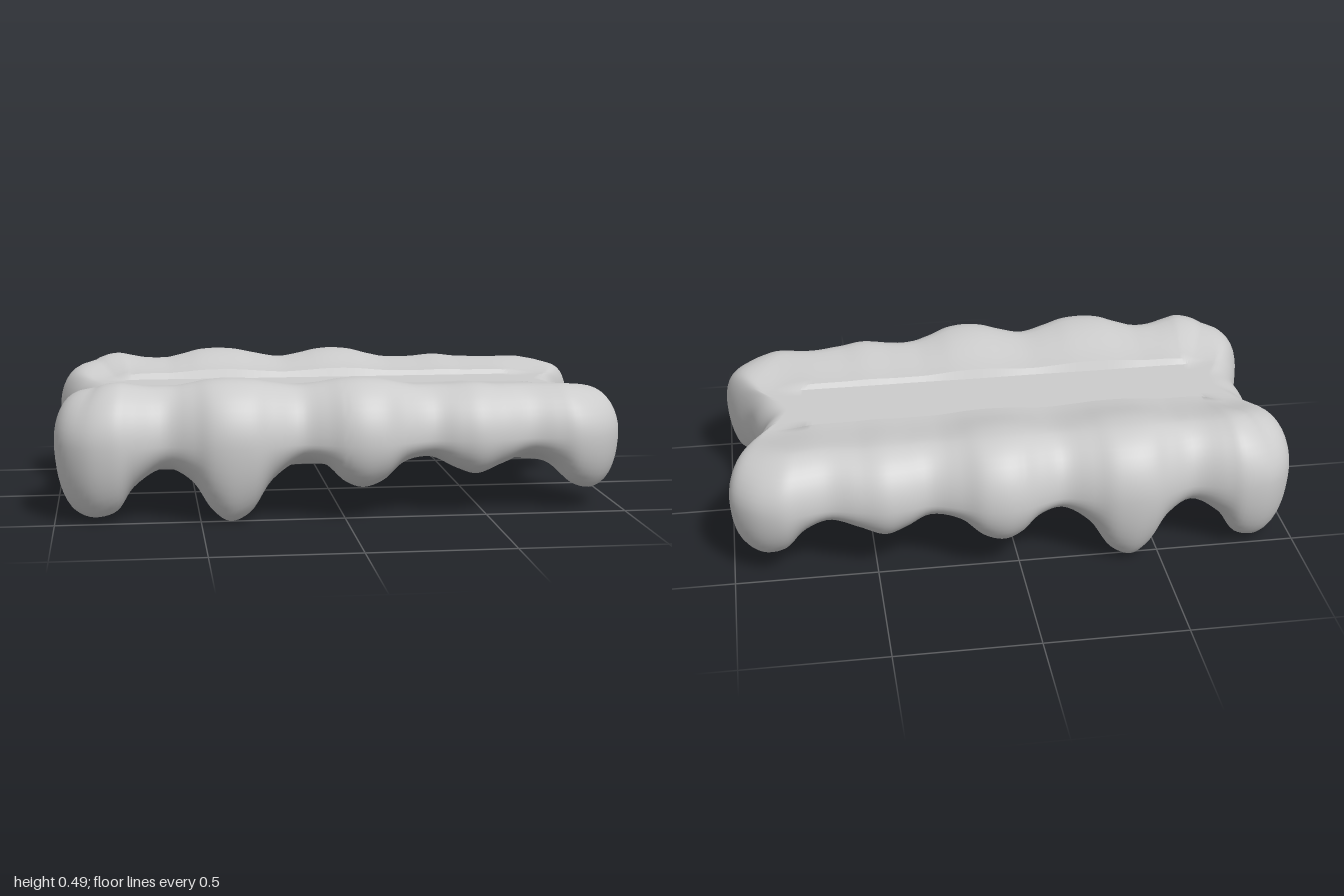
import * as THREE from 'three';
import { toCreasedNormals } from 'three/addons/utils/BufferGeometryUtils.js';

const { lerp, clamp, smoothstep } = THREE.MathUtils;

// Half of the rim, from the right end round the front to the left end: x, z, height of the drip tip.
const RIM = [
  [-0.94, 0, 0.16], [-0.935, 0.12, 0.16], [-0.965, 0.22, 0.15], [-1, 0.36, 0.08],
  [-0.97, 0.48, 0.03], [-0.89, 0.555, 0.015], [-0.8, 0.575, 0.04], [-0.73, 0.56, 0.12],
  [-0.62, 0.53, 0.18], [-0.53, 0.565, 0.14], [-0.46, 0.6, 0.04], [-0.4, 0.61, 0],
  [-0.33, 0.605, 0.03], [-0.25, 0.575, 0.14], [-0.15, 0.545, 0.2], [-0.07, 0.57, 0.19],
  [0, 0.6, 0.13], [0.06, 0.61, 0.11], [0.13, 0.6, 0.13], [0.21, 0.56, 0.19],
  [0.31, 0.525, 0.2], [0.4, 0.545, 0.16], [0.47, 0.555, 0.14], [0.56, 0.535, 0.17],
  [0.66, 0.51, 0.2], [0.75, 0.525, 0.17], [0.83, 0.535, 0.1], [0.92, 0.5, 0.07],
  [0.985, 0.43, 0.08], [1, 0.37, 0.1], [0.975, 0.28, 0.15], [0.92, 0.18, 0.16],
  [0.9, 0.1, 0.165], [0.875, 0, 0.165],
];
const CHANNEL = 0.405, CHANNEL_Z = 0.155, WAIST = 0.27, SPINE = 0.72;

// Height of the top: a flat channel, a low lip beside it that fades toward the ends, then a swell.
function topHeight(x, z, crest) {
  const depth = Math.abs(z);
  if (depth < CHANNEL_Z) return CHANNEL;
  const lip = 0.4 * (1 - smoothstep(Math.abs(x), 0.66, 0.83));
  return CHANNEL + crest * lerp(lip, 1, smoothstep(depth, CHANNEL_Z - 0.02, 0.41));
}

// Cross-section at one rim point, from the top centre to the bottom centre.
function section(x, z, tip) {
  const depth = Math.abs(z);
  const swell = smoothstep(depth, 0.05, 0.4);
  const corner = smoothstep(Math.abs(x), 0.78, 0.97);
  const crest = 0.047 - 0.01 * x + Math.max(0, depth - 0.54) * 0.42;
  const shoulder = lerp(0.6, lerp(0.3, 0.42, corner), swell);
  const toe = lerp(0.5, 0.19, swell);
  const spineX = clamp(x, -SPINE, SPINE);
  const points = [];
  const add = (f, y) => points.push([lerp(x, spineX, f), y, z * (1 - f)]);
  const addTop = (f, drop) => {
    const h = topHeight(lerp(x, spineX, f), z * (1 - f), crest);
    add(f, WAIST + (h - WAIST) * drop);
  };

  // channel floor and its straight wall, then the slope up to the shoulder
  const wall = Math.max(1 - (CHANNEL_Z + 0.002) / Math.max(depth, 0.01), shoulder + 0.06);
  addTop(1, 1);
  addTop(lerp(wall, 1, 0.4), 1);
  addTop(wall + 0.025, 1);
  for (let i = 0; i < 6; i++) addTop(lerp(wall, shoulder, i / 6), 1);
  // rounded shoulder, then the drip
  for (let i = 0; i <= 10; i++) {
    const a = (i / 10) * Math.PI / 2;
    addTop(shoulder * (1 - Math.sin(a)), Math.cos(a));
  }
  for (let i = 1; i <= 10; i++) {
    const a = (i / 10) * Math.PI / 2;
    add(toe * (1 - Math.cos(a)), WAIST - (WAIST - tip) * Math.sin(a));
  }
  // inner side of the drip, then the gently arched underside
  const under = 0.12 + 0.035 * Math.exp(-(((x - 0.27) / 0.35) ** 2));
  const inner = Math.max(0.47, toe + 0.1);
  for (const t of [0.25, 0.5, 0.75, 1]) {
    add(lerp(toe, inner, t), lerp(tip, under + 0.025, smoothstep(t, -0.05, 1.05)));
  }
  add(0.8, under + 0.003);
  add(1, under);
  return points;
}

function icingGeometry(steps = 320) {
  const front = RIM.map(([x, z, tip]) => new THREE.Vector3(x, z, tip));
  const back = front.slice(1, -1).reverse().map((p) => new THREE.Vector3(p.x, -p.y, p.z));
  const rim = new THREE.CatmullRomCurve3([...front, ...back], true);

  const sections = [], index = [];
  for (let i = 0; i < steps; i++) {
    const p = rim.getPoint(i / steps);
    sections.push(section(p.x, p.y, p.z));
  }
  const count = sections[0].length;
  for (let i = 0; i < steps; i++) {
    const next = (i + 1) % steps;
    for (let j = 0; j < count - 1; j++) {
      const a = i * count + j, b = next * count + j;
      index.push(a, a + 1, b, a + 1, b + 1, b);
    }
  }
  const geometry = new THREE.BufferGeometry();
  geometry.setAttribute('position', new THREE.Float32BufferAttribute(sections.flat(2), 3));
  geometry.setIndex(index);
  return toCreasedNormals(geometry, 0.75);
}

export function createModel() {
  const group = new THREE.Group();
  group.name = 'drippingIcing';
  const material = new THREE.MeshStandardMaterial({ color: 0xcccccc });
  const icing = new THREE.Mesh(icingGeometry(), material);
  icing.name = 'icing';
  group.add(icing);
  return group;
}
